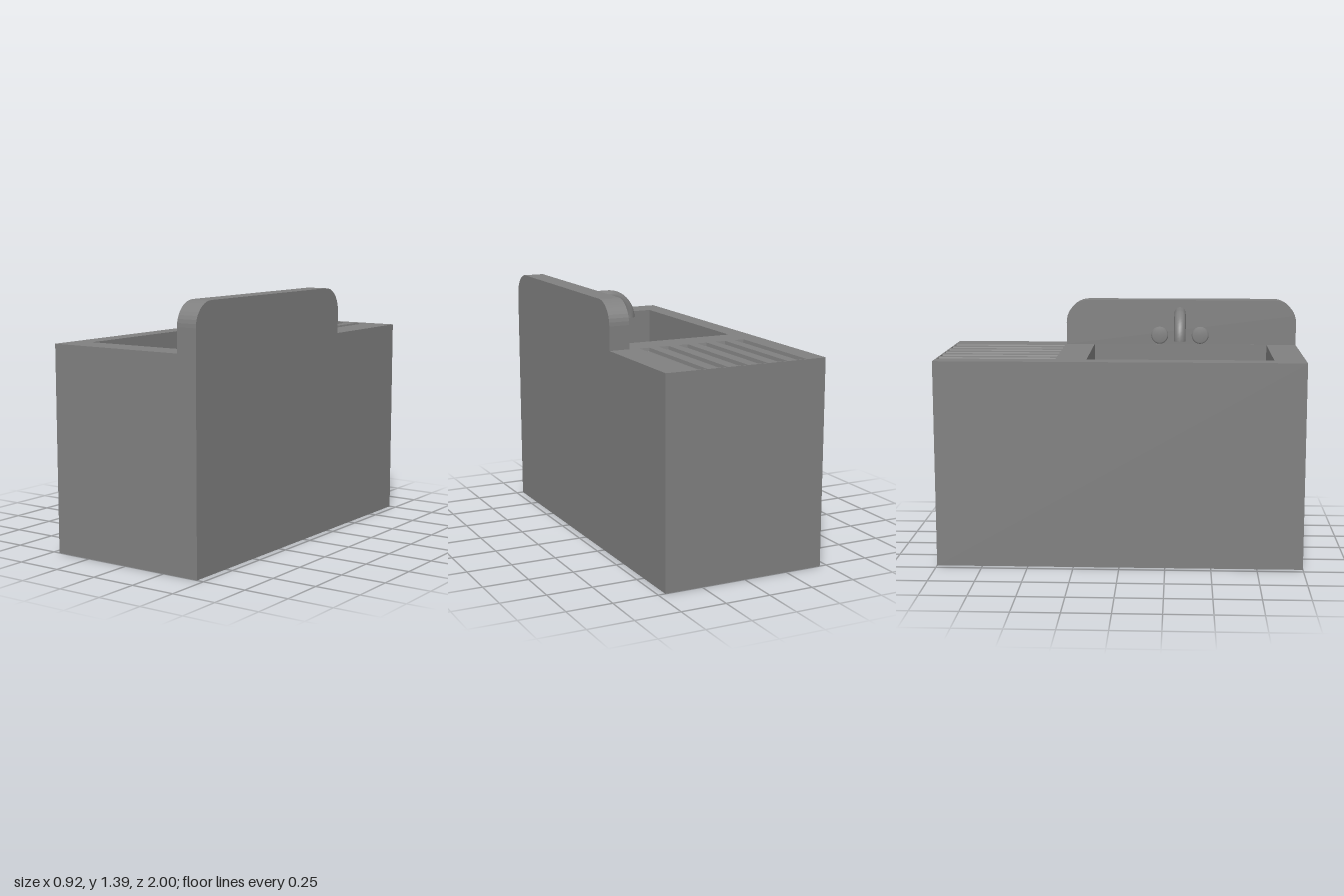
import * as THREE from 'three';

const W = 0.46, PANEL = 0.345, TOP = 1.13;
const grey = new THREE.MeshStandardMaterial({ color: 0x808080 });
grey.name = 'grey';

function add(parent, name, geometry, x = 0, y = 0, z = 0) {
  const mesh = new THREE.Mesh(geometry, grey);
  mesh.name = name;
  mesh.position.set(x, y, z);
  parent.add(mesh);
  return mesh;
}

// Sunken rectangular recess; rings are [inset, depth] pairs from rim to floor
function recess({ x0, x1, z0, z1 }, rings) {
  const pos = [];
  const quad = (a, b, c, d) => pos.push(...a, ...b, ...c, ...a, ...c, ...d);
  const loops = rings.map(([i, d]) => [
    [x0 + i, -d, z0 + i], [x1 - i, -d, z0 + i], [x1 - i, -d, z1 - i], [x0 + i, -d, z1 - i],
  ]);
  for (let r = 0; r < loops.length - 1; r++) {
    for (let k = 0; k < 4; k++) {
      const n = (k + 1) % 4;
      quad(loops[r + 1][k], loops[r + 1][n], loops[r][n], loops[r][k]);
    }
  }
  const f = loops[loops.length - 1];
  quad(f[0], f[3], f[2], f[1]);
  const g = new THREE.BufferGeometry();
  g.setAttribute('position', new THREE.Float32BufferAttribute(pos, 3));
  g.computeVertexNormals();
  return g;
}

function rectHole({ x0, x1, z0, z1 }) {
  return new THREE.Path([[x0, -z0], [x1, -z0], [x1, -z1], [x0, -z1]].map(p => new THREE.Vector2(...p)));
}

export function createModel() {
  const model = new THREE.Group();
  model.name = 'kitchenSink';

  const basin = { x0: -0.35, x1: PANEL - 0.001, z0: -0.18, z1: 0.83 };
  const grooves = [];
  for (let i = 0; i < 6; i++) {
    const c = -0.32 + i * 0.1155;
    grooves.push({ x0: c - 0.029, x1: c + 0.029, z0: -0.994, z1: -0.35 });
  }

  // Cabinet walls
  const cabinet = new THREE.Group();
  cabinet.name = 'cabinet';
  model.add(cabinet);
  const width = PANEL + W, cx = (PANEL - W) / 2;
  add(cabinet, 'frontWall', new THREE.PlaneGeometry(width, TOP), cx, TOP / 2, 1);
  add(cabinet, 'rearWall', new THREE.PlaneGeometry(width, TOP).rotateY(Math.PI), cx, TOP / 2, -1);
  add(cabinet, 'sideWall', new THREE.PlaneGeometry(2, TOP).rotateY(-Math.PI / 2), -W, TOP / 2, 0);
  add(cabinet, 'base', new THREE.PlaneGeometry(width, 2).rotateX(Math.PI / 2), cx, 0, 0);

  // Worktop with openings for the basin and drainer grooves
  const top = new THREE.Shape([[-W, -1], [PANEL, -1], [PANEL, 1], [-W, 1]].map(p => new THREE.Vector2(...p)));
  top.holes.push(rectHole(basin), ...grooves.map(rectHole));
  add(model, 'worktop', new THREE.ShapeGeometry(top).rotateX(-Math.PI / 2), 0, TOP, 0);

  // Basin with a rounded foot to its walls
  const rings = [[0, 0]];
  for (let i = 0; i <= 3; i++) {
    const a = i * Math.PI / 6;
    rings.push([0.11 * (1 - Math.cos(a)), 0.38 + 0.11 * Math.sin(a)]);
  }
  add(model, 'basin', recess(basin, rings), 0, TOP, 0);
  for (const g of grooves) {
    add(model, 'drainerGroove', recess(g, [[0, 0], [0.004, 0.018], [0.015, 0.03]]), 0, TOP, 0);
  }

  // Side panel rising into the round-cornered splashback
  const r = 0.13, h = 1.39, end = 0.345;
  const panel = new THREE.Shape();
  panel.moveTo(-1, 0);
  panel.lineTo(1, 0);
  panel.lineTo(1, TOP);
  panel.lineTo(end, TOP);
  panel.lineTo(end, h - r);
  panel.absarc(end - r, h - r, r, 0, Math.PI / 2, false);
  panel.absarc(-1 + r, h - r, r, Math.PI / 2, Math.PI, false);
  panel.lineTo(-1, 0);
  const panelGeo = new THREE.ExtrudeGeometry(panel, { depth: W - PANEL, bevelEnabled: false, curveSegments: 5 });
  add(model, 'splashback', panelGeo.rotateY(Math.PI / 2), PANEL, 0, 0);

  // Spout: straight run from the splashback, then a quarter bend downwards
  const V = (x, y) => new THREE.Vector3(x, y, 0);
  const path = new THREE.CurvePath();
  path.add(new THREE.LineCurve3(V(0.36, 1.317), V(0.165, 1.317)));
  const k = 0.132 * 0.5523;
  path.add(new THREE.CubicBezierCurve3(V(0.165, 1.317), V(0.165 - k, 1.317), V(0.033, 1.185 + k), V(0.033, 1.185)));
  const tap = new THREE.Group();
  tap.name = 'tap';
  tap.position.z = 0.322;
  model.add(tap);
  add(tap, 'spout', new THREE.TubeGeometry(path, 24, 0.033, 12));
  add(tap, 'spoutEnd', new THREE.CircleGeometry(0.033, 12).rotateX(Math.PI / 2), 0.033, 1.185, 0);

  // Turned knobs either side of the spout
  const profile = [[0, 0.062], [0.042, 0.062], [0.05, 0.056], [0.05, 0.044], [0.044, 0.038],
    [0.03, 0.024], [0.03, 0.016], [0.038, 0.008], [0.038, -0.005]]
    .reverse().map(p => new THREE.Vector2(...p));
  for (const s of [-1, 1]) {
    add(tap, 'knob', new THREE.LatheGeometry(profile, 20).rotateZ(Math.PI / 2), PANEL, 1.19, s * 0.118);
  }
  return model;
}
